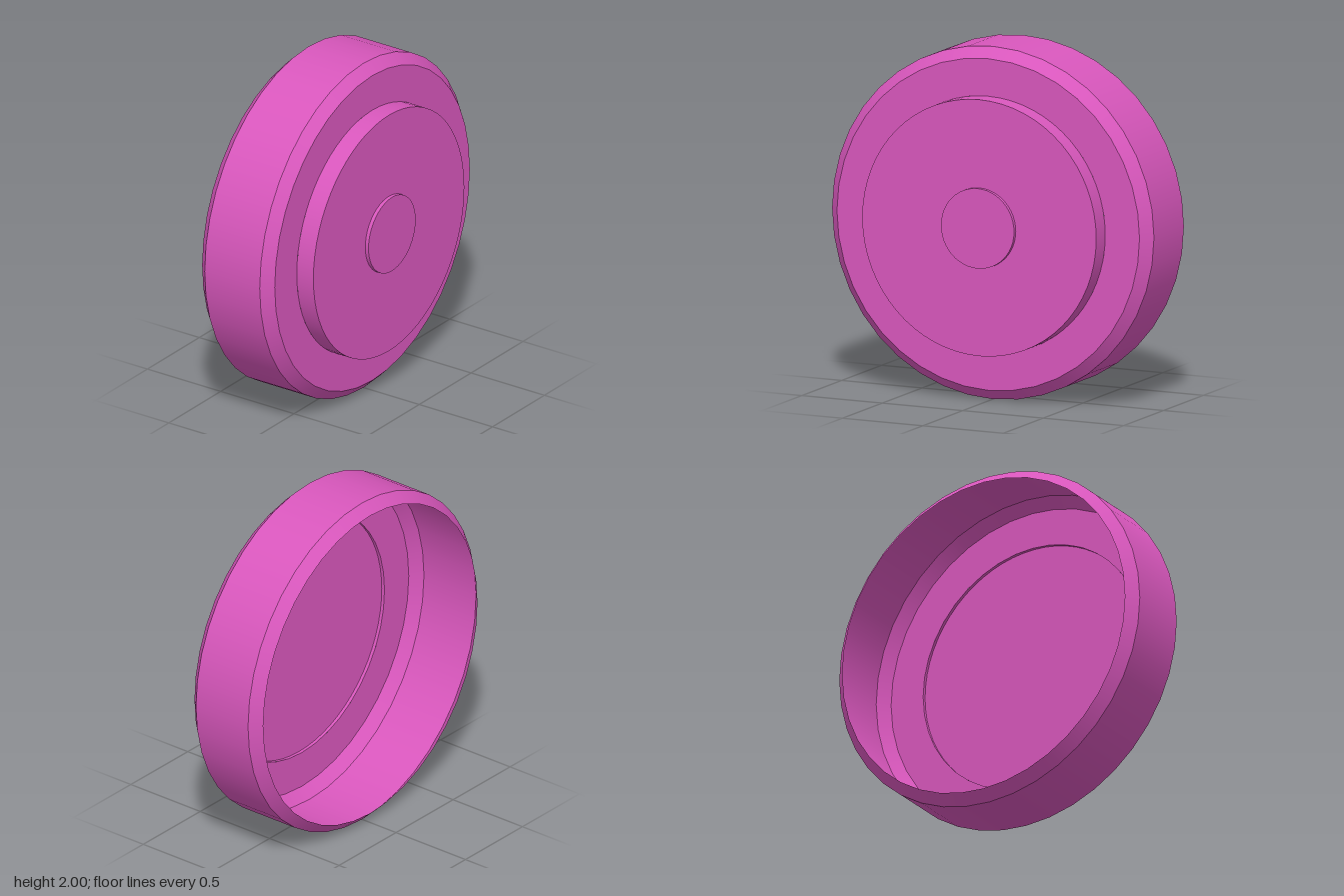
import * as THREE from 'three';

const material = new THREE.MeshStandardMaterial({ color: 0xd957bd, side: THREE.DoubleSide });

// Surface of revolution around the x axis; each [radius, x] band is a
// separate lathe so that the edges between bands stay crisp.
function revolve(name, profile, segments) {
  const part = new THREE.Group();
  part.name = name;
  for (let i = 0; i < profile.length - 1; i++) {
    const points = [profile[i], profile[i + 1]].map(([r, x]) => new THREE.Vector2(r, x));
    const geometry = new THREE.LatheGeometry(points, segments);
    geometry.rotateZ(-Math.PI / 2);
    const mesh = new THREE.Mesh(geometry, material);
    mesh.name = `${name}Band${i + 1}`;
    part.add(mesh);
  }
  part.position.y = 1;
  return part;
}

export function createModel() {
  const model = new THREE.Group();
  model.name = 'roundCap';

  // Thin chamfered shell, open at the back (-x), with a ring-shaped face
  model.add(revolve('shell', [
    [0.94, -0.315], [1, -0.255], [1, 0.12], [0.94, 0.18], [0.727, 0.18],
  ], 40));

  // Raised disc on the face, its closed inner side slightly recessed
  model.add(revolve('raisedDisc', [
    [0.727, 0.18], [0.727, 0.293], [0, 0.293],
  ], 64));
  model.add(revolve('innerPanel', [[0.727, 0.2], [0, 0.2]], 64));

  // Small central button
  model.add(revolve('centerButton', [
    [0.227, 0.293], [0.227, 0.315], [0, 0.315],
  ], 48));

  return model;
}
